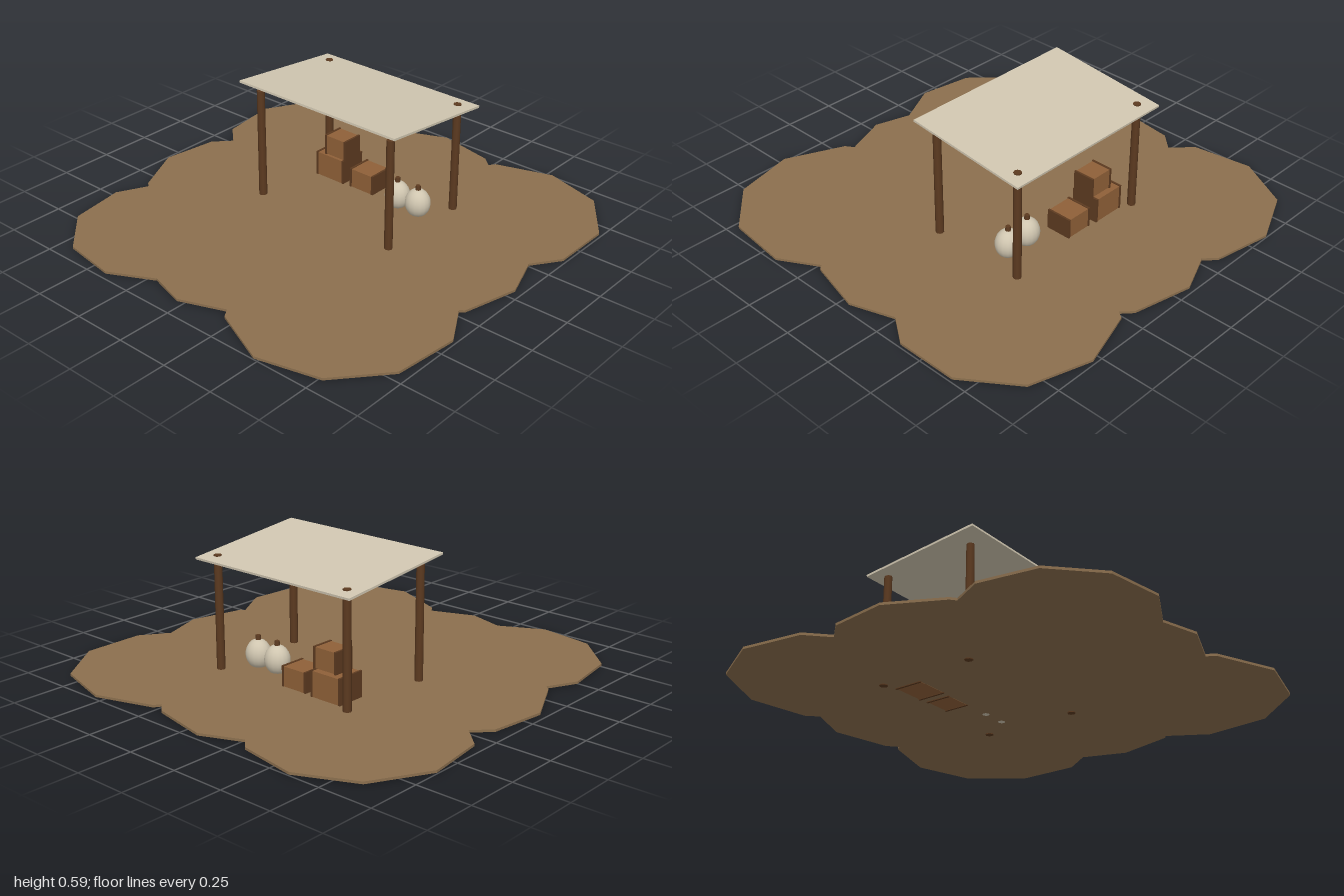
import * as THREE from 'three';

const material = (name, color, side = THREE.FrontSide) => {
  const m = new THREE.MeshStandardMaterial({ color, side });
  m.name = name;
  return m;
};

export function createModel() {
  const model = new THREE.Group();
  model.name = 'marketShelter';
  const earth = material('earth', 0x8b6f4e);
  const canvas = material('canvas', 0xd0c6b0);
  const darkWood = material('darkWood', 0x5c3a20);
  const crateWood = material('crateWood', 0x8f6038);

  const add = (parent, name, geometry, mat, x = 0, y = 0, z = 0) => {
    const mesh = new THREE.Mesh(geometry, mat);
    mesh.name = name;
    mesh.position.set(x, y, z);
    parent.add(mesh);
    return mesh;
  };

  // Ragged patch of ground, outline given as x, z
  const outline = [
    [-0.6, -1], [-0.32, -0.95], [-0.27, -0.9], [-0.08, -0.98], [0.2, -0.92], [0.25, -0.875],
    [0.27, -0.905], [0.54, -0.99], [0.82, -0.905], [0.99, -0.67], [0.99, -0.38], [0.9, -0.25],
    [0.97, -0.045], [0.905, 0.215], [0.885, 0.23], [0.99, 0.41], [0.96, 0.71], [0.77, 0.93],
    [0.48, 1], [0.205, 0.88], [0.18, 0.84], [-0.03, 0.92], [-0.205, 0.87], [-0.41, 0.975],
    [-0.67, 0.935], [-0.86, 0.75], [-0.9, 0.49], [-0.83, 0.35], [-0.855, 0.33], [-0.975, 0.09],
    [-0.94, -0.17], [-0.865, -0.25], [-0.96, -0.34], [-1, -0.625], [-0.86, -0.88],
  ];
  const shape = new THREE.Shape(outline.map(([x, z]) => new THREE.Vector2(x, -z)));
  const ground = new THREE.ExtrudeGeometry(shape, { depth: 0.011, bevelEnabled: false });
  ground.rotateX(-Math.PI / 2);
  add(model, 'ground', ground, earth, 0, 0.004, 0);

  // Four posts; the back pair pokes through the roof
  const postGeometry = new THREE.CylinderGeometry(0.018, 0.019, 0.54, 8);
  for (const x of [-0.376, 0.37]) {
    for (const z of [0.045, -0.422]) add(model, 'post', postGeometry, darkWood, x, 0.27, z);
  }

  // Sloping roof sheet
  const roof = add(model, 'roof', new THREE.BoxGeometry(0.885, 0.01, 0.6), canvas, -0.003, 0.555, -0.19);
  roof.rotation.x = -Math.atan2(0.062, 0.6);

  // Crates with a dark board on each end
  const addCrate = (x, y, z, w, h, d) => {
    const crate = new THREE.Group();
    crate.name = 'crate';
    crate.position.set(x, y, z);
    add(crate, 'crateBody', new THREE.BoxGeometry(w - 0.016, h - 0.006, d - 0.006), crateWood, 0, h / 2, 0);
    for (const s of [-1, 1]) {
      add(crate, 'crateEnd', new THREE.BoxGeometry(0.01, h, d), darkWood, s * (w / 2 - 0.005), h / 2, 0);
    }
    model.add(crate);
  };
  addCrate(-0.237, 0, -0.335, 0.165, 0.135, 0.14);
  addCrate(-0.212, 0.133, -0.327, 0.127, 0.1, 0.106);
  addCrate(-0.05, 0, -0.335, 0.138, 0.11, 0.125);

  // Round jars with stoppers
  const jarGeometry = new THREE.SphereGeometry(0.06, 16, 12);
  jarGeometry.scale(1, 1.15, 0.95);
  for (const x of [0.16, 0.277]) {
    const jar = new THREE.Group();
    jar.name = 'jar';
    jar.position.set(x, 0, -0.28);
    add(jar, 'jarBody', jarGeometry, canvas, 0, 0.07, 0);
    add(jar, 'jarStopper', new THREE.CylinderGeometry(0.011, 0.014, 0.03, 8), darkWood, 0, 0.143, 0);
    model.add(jar);
  }
  return model;
}
